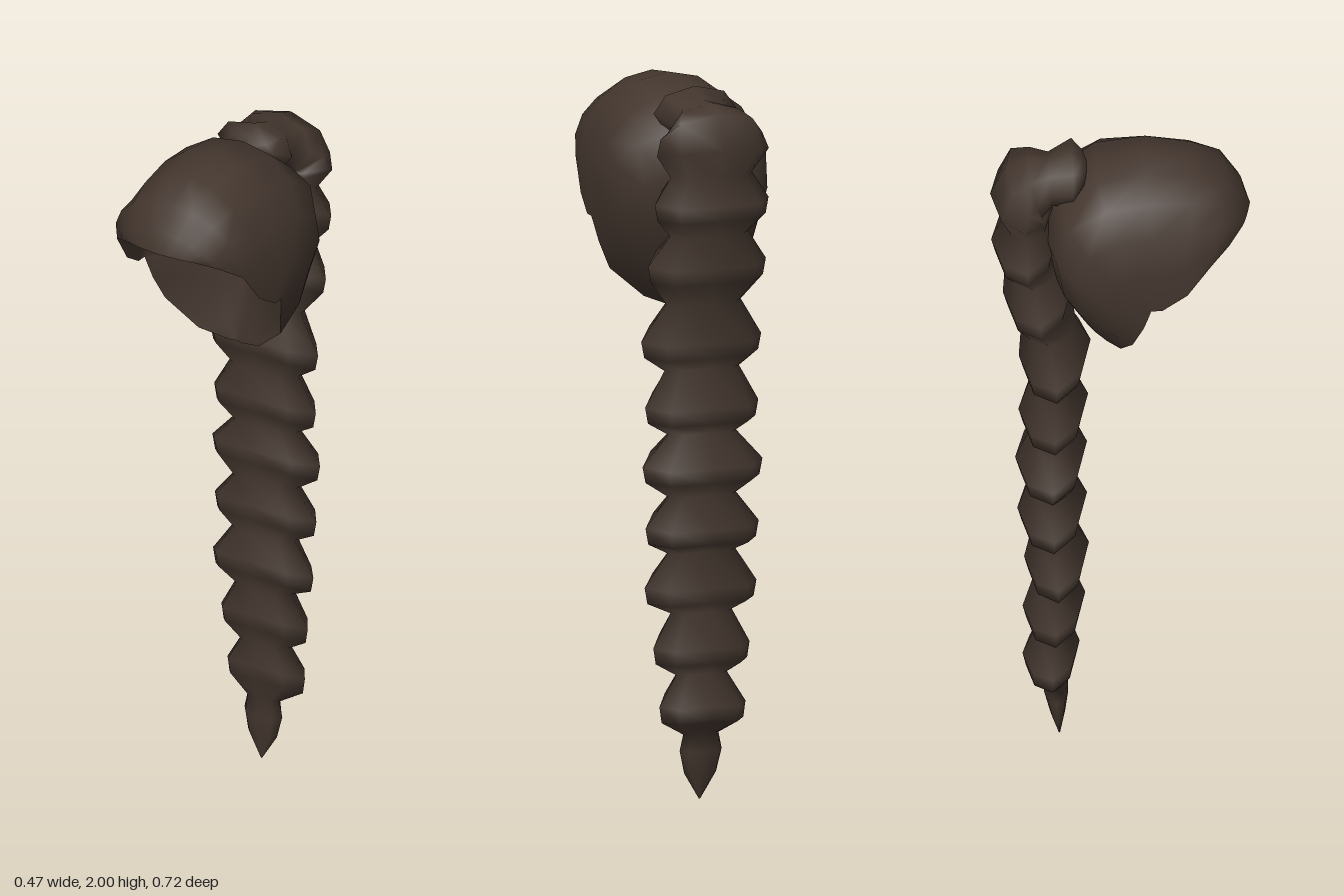
import * as THREE from 'three';

const hair = new THREE.MeshStandardMaterial({ color: 0x43362e });
hair.name = 'dark brown hair';

// Skin a list of cross-sections (arrays of [x, y, z]) into a smooth surface
function skin(name, rows, { closed = false, flip = false } = {}) {
  const n = rows[0].length, index = [];
  const cols = closed ? n : n - 1;
  for (let i = 0; i < rows.length - 1; i++) {
    for (let j = 0; j < cols; j++) {
      const k = (j + 1) % n;
      const a = i * n + j, b = i * n + k, c = a + n, d = b + n;
      if (flip) index.push(a, c, b, b, c, d);
      else index.push(a, b, c, b, d, c);
    }
  }
  const geo = new THREE.BufferGeometry();
  geo.setAttribute('position', new THREE.Float32BufferAttribute(rows.flat(2), 3));
  geo.setIndex(index);
  geo.computeVertexNormals();
  const mesh = new THREE.Mesh(geo, hair);
  mesh.name = name;
  return mesh;
}

const STEPS = 5;

// Arc from the right rim over the crown to the left rim; fullness squares it off
function arch([cy, cz], [rx, ry, rz], bulge = 0, fullness = 1) {
  const pts = [];
  for (let j = -STEPS; j <= STEPS; j++) {
    const a = Math.abs(j) / STEPS * Math.PI / 2, t = (1 - Math.cos(a)) ** fullness;
    const x = rx * Math.sin(a) + bulge * Math.sin(2 * a);
    pts.push([Math.sign(j) * x, cy + (ry - cy) * t, cz + (rz - cz) * t]);
  }
  return pts;
}

// Straight-sided fold from the right rim through the middle to the left rim
function fold([cy, cz], [rx, ry, rz]) {
  const pts = [];
  for (let j = -STEPS; j <= STEPS; j++) {
    const t = Math.abs(j) / STEPS;
    pts.push([rx * j / STEPS, cy + (ry - cy) * t, cz + (rz - cz) * t]);
  }
  return pts;
}

// Eight-sided braid section; lean 0 points its outer side up, 90 points it back,
// and sag lowers the two sides
function ring(y, z, halfWidth, halfDepth, lean, sag = 0) {
  const a = THREE.MathUtils.degToRad(lean), pts = [];
  for (let j = 0; j < 8; j++) {
    const t = j / 8 * Math.PI * 2, d = halfDepth * Math.cos(t);
    const drop = sag * Math.sin(t) ** 2;
    pts.push([halfWidth * Math.sin(t), y + d * Math.cos(a) - drop, z - d * Math.sin(a)]);
  }
  return pts;
}

export function createModel() {
  const model = new THREE.Group();
  model.name = 'braidedHair';

  // Cap: outer crown (y, z), rim (x, y, z), side bulge, lining crown (y, z), fullness
  const cap = [
    [[1.81, 0.36], [0.10, 1.80, 0.332], 0, [1.81, 0.36], 0.55],
    [[1.87, 0.34], [0.16, 1.782, 0.298], 0, [1.83, 0.30], 0.8],
    [[1.93, 0.29], [0.207, 1.745, 0.245], 0.01, [1.86, 0.22], 1],
    [[1.98, 0.20], [0.217, 1.655, 0.18], 0.02, [1.85, 0.12], 1],
    [[2.00, 0.07], [0.225, 1.61, 0.11], 0.03, [1.79, 0.00], 1],
    [[1.97, -0.07], [0.225, 1.61, 0.08], 0.04, [1.66, -0.10], 1.1],
    [[1.88, -0.17], [0.22, 1.59, 0.075], 0.047, [1.60, -0.09], 1.35],
    [[1.76, -0.205], [0.21, 1.54, 0.06], 0.047, [1.54, -0.08], 1.4],
    [[1.62, -0.18], [0.19, 1.47, 0.03], 0.03, [1.47, -0.065], 1.3],
    [[1.48, -0.12], [0.10, 1.39, 0.0], 0.01, [1.41, -0.05], 1],
    [[1.36, -0.04], [0.02, 1.36, -0.035], 0, [1.36, -0.04], 1],
  ];
  const nape = cap.slice(5).map(([, rim, , inner]) => fold(inner, rim));
  const ceiling = cap.slice(0, 5).map(([, rim, , inner, full]) => arch(inner, rim, 0, full));
  model.add(
    skin('hairCap', cap.map(([crown, rim, bulge, , full]) => arch(crown, rim, bulge, full))),
    skin('capCeiling', [...ceiling, nape[0]], { flip: true }),
    skin('napeLining', nape, { flip: true }),
  );

  // Braid root: a knot on the crown that bends over the back
  const braid = [
    ring(1.94, -0.085, 0.002, 0.002, 0),
    ring(1.94, -0.10, 0.08, 0.03, 0),
    ring(1.93, -0.13, 0.122, 0.07, 0),
    ring(1.905, -0.19, 0.085, 0.07, 5),
    ring(1.895, -0.23, 0.12, 0.085, 15),
    ring(1.885, -0.255, 0.15, 0.09, 40),
    ring(1.84, -0.268, 0.165, 0.09, 78),
    ring(1.785, -0.255, 0.12, 0.065, 95, 0.01),
  ];

  // Hanging lobes: middle (y, z), half width, half depth, then the waist below
  const lobes = [
    [1.71, -0.258, 0.168, 0.098, 1.62, -0.24, 0.115, 0.075],
    [1.53, -0.222, 0.174, 0.102, 1.42, -0.195, 0.11, 0.075],
    [1.31, -0.178, 0.177, 0.102, 1.23, -0.182, 0.11, 0.062],
    [1.125, -0.182, 0.167, 0.099, 1.05, -0.185, 0.10, 0.06],
    [0.96, -0.188, 0.177, 0.102, 0.875, -0.185, 0.10, 0.064],
    [0.785, -0.185, 0.167, 0.099, 0.715, -0.18, 0.10, 0.06],
    [0.615, -0.173, 0.165, 0.092, 0.545, -0.178, 0.09, 0.058],
    [0.445, -0.18, 0.142, 0.089, 0.37, -0.18, 0.075, 0.05],
    [0.28, -0.188, 0.127, 0.081, 0.20, -0.175, 0.052, 0.034],
  ];
  for (const [y, z, w, d, wy, wz, ww, wd] of lobes) {
    braid.push(
      ring(y + 0.015, z, w, d, 104, 0.024),
      ring(y - 0.03, z, w * 0.95, d * 0.88, 104, 0.024),
      ring(wy, wz, ww, wd, 93, 0.014),
    );
  }

  // Loose tuft at the end
  braid.push(
    ring(0.14, -0.174, 0.062, 0.033, 90),
    ring(0.075, -0.17, 0.047, 0.021, 90),
    ring(0, -0.165, 0.002, 0.002, 90),
  );
  model.add(skin('braid', braid, { closed: true }));

  return model;
}
